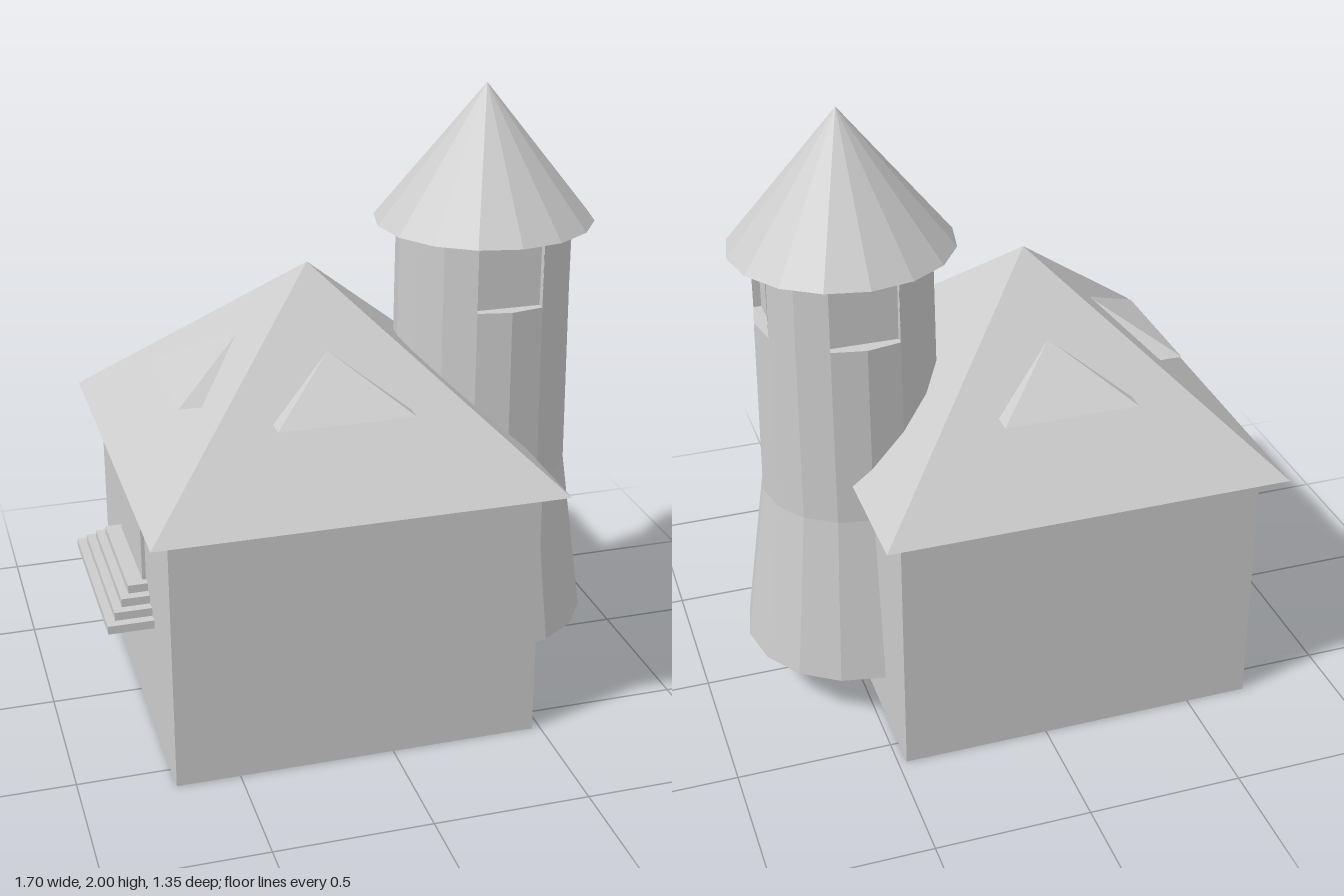
import * as THREE from 'three';

const mat = new THREE.MeshStandardMaterial({ color: 0xcccccc, flatShading: true, side: THREE.DoubleSide });

function add(parent, name, geometry, x = 0, y = 0, z = 0) {
  const mesh = new THREE.Mesh(geometry, mat);
  mesh.name = name;
  mesh.position.set(x, y, z);
  parent.add(mesh);
  return mesh;
}

// Flat-shaded geometry from corner loops (triangles or quads, counter-clockwise from outside)
function facets(faces) {
  const pos = [];
  for (const f of faces) {
    for (let i = 1; i < f.length - 1; i++) pos.push(...f[0], ...f[i], ...f[i + 1]);
  }
  const g = new THREE.BufferGeometry();
  g.setAttribute('position', new THREE.Float32BufferAttribute(pos, 3));
  g.computeVertexNormals();
  return g;
}

// Four-sided prism or pyramid over a unit square
const square = (top, height, open) =>
  new THREE.CylinderGeometry(top, Math.SQRT1_2, height, 4, 1, open, Math.PI / 4);

// Wedge dormer: base edge stands out from the roof, tip lies on the slope
function dormerGeometry(outer, inner, tip) {
  const w = 0.218, lo = 1.097, hi = 1.25;
  const a = [-w, lo, outer], b = [w, lo, outer], c = [w, lo, inner], d = [-w, lo, inner], t = [0, hi, tip];
  return facets([[a, b, t], [b, c, t], [d, a, t], [a, d, c, b]]);
}

function towerGroup() {
  const tower = new THREE.Group();
  tower.name = 'tower';
  tower.position.x = 0.475;
  const N = 16;
  const pt = (k, y, r) => {
    const a = (k / N) * Math.PI * 2; // k = 0 points to +x, k = 4 to +z
    return [r * Math.cos(a), y, r * Math.sin(a)];
  };
  const panel = (k, y0, r0, y1, r1) => [pt(k + 1, y0, r0), pt(k, y0, r0), pt(k, y1, r1), pt(k + 1, y1, r1)];
  const yFoot = 0.17, yWaist = 0.73, ySill = 1.33, yTop = 1.56;
  const rFoot = 0.37, rWaist = 0.292, rSill = 0.285, rTop = 0.282;

  // Flared foot covers only the outer half
  const foot = [], shaft = [], upper = [];
  const windowed = [-5, -4, -1, 0, 3, 4];
  for (let k = -8; k < 8; k++) {
    if (k >= -4 && k < 4) foot.push(panel(k, yFoot, rFoot, yWaist, rWaist));
    shaft.push(panel(k, yWaist, rWaist, ySill, rSill));
    if (!windowed.includes(k)) upper.push(panel(k, ySill, rSill, yTop, rTop));
  }
  add(tower, 'towerFoot', facets(foot));
  add(tower, 'towerShaft', facets(shaft));
  add(tower, 'towerTop', facets(upper));

  // Recessed windows, each two facets wide
  const half = rSill * Math.sin(Math.PI / 8), edge = rSill * Math.cos(Math.PI / 8), deep = edge - 0.025;
  const recess = facets([
    [[-half, ySill, deep], [half, ySill, deep], [half, yTop, deep], [-half, yTop, deep]],
    [[-half, ySill, edge], [0, ySill, rSill], [half, ySill, edge], [half, ySill, deep], [-half, ySill, deep]],
    [[-half, ySill, edge], [-half, ySill, deep], [-half, yTop, deep], [-half, yTop, edge]],
    [[half, ySill, deep], [half, ySill, edge], [half, yTop, edge], [half, yTop, deep]],
  ]);
  for (const turn of [0, 1, 2]) add(tower, 'towerWindow', recess).rotation.y = turn * Math.PI / 2;

  // Conical roof, corner on each axis
  add(tower, 'towerRoof', new THREE.ConeGeometry(0.356, 2 - yTop, N), 0, (2 + yTop) / 2, 0);
  return tower;
}

export function createModel() {
  const model = new THREE.Group();
  model.name = 'house';
  const cx = -0.115;

  // Walls, open underneath
  add(model, 'walls', square(Math.SQRT1_2, 0.86, true), cx, 0.43, 0).scale.set(1.176, 1, 1.19);

  // Pyramid roof with eaves
  add(model, 'roof', square(0, 0.603, false), cx, 0.86 + 0.3015, 0).scale.set(1.304, 1, 1.35);

  // Dormers front, back and on the door side
  const longDormer = dormerGeometry(0.472, 0.41, 0.24);
  const doorDormer = dormerGeometry(0.47, 0.395, 0.228);
  add(model, 'frontDormer', longDormer, cx);
  add(model, 'backDormer', longDormer, cx).rotation.y = Math.PI;
  add(model, 'doorDormer', doorDormer, cx).rotation.y = -Math.PI / 2;

  // Door slab on the -x wall
  add(model, 'door', new THREE.BoxGeometry(0.09, 0.36, 0.38), -0.67, 0.675, 0);

  // Steps, each shorter and narrower than the one below
  for (let i = 0; i < 4; i++) {
    const x0 = -0.85 + i * 0.028, x1 = -0.5;
    add(model, 'step', new THREE.BoxGeometry(x1 - x0, 0.0275, 0.63 - i * 0.064),
      (x0 + x1) / 2, 0.419 + i * 0.0275, 0);
  }

  model.add(towerGroup());
  return model;
}
